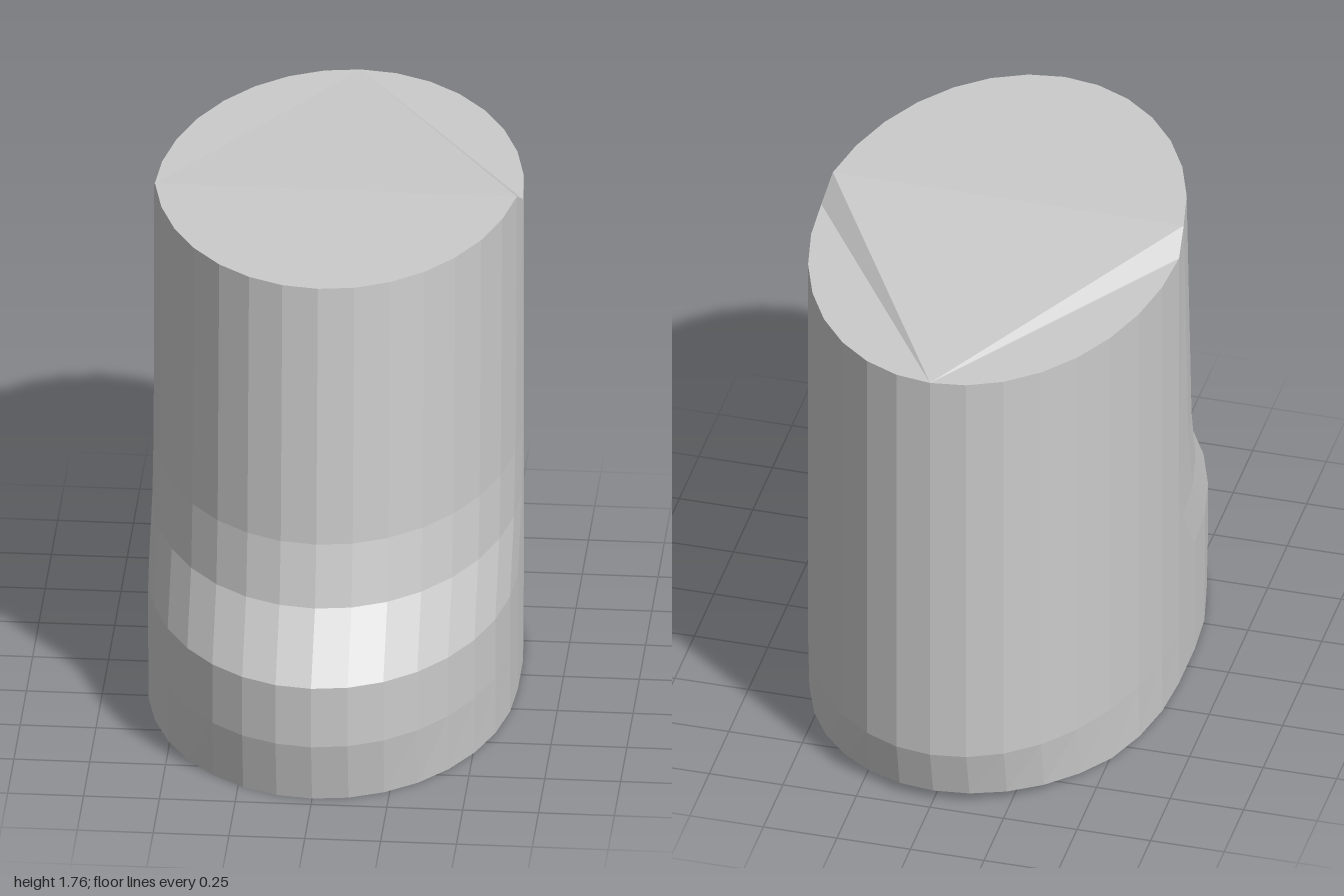
import * as THREE from 'three';

const COLS = 34;          // two half ellipses joined by short straight sides
const TIP = 25;           // rearmost column
const wrap = (k) => ((k % COLS) + COLS) % COLS;

// Each ring: height and how far the front half is pushed back
const RINGS = [
  { y: 0, push: 0 },
  { y: 0.21, push: 0 },
  { y: 0.425, push: 0 },
  { y: 0.64, push: 0.16 },
  { y: 0.85, push: 0.21 },
  { y: 1.76, push: 0.272 },
];

function ringPoint(r, k) {
  const front = k <= 16;
  const t = ((front ? k - 8 : k - 9) * Math.PI) / 16;
  const c = Math.cos(t);
  let { y, push } = RINGS[r];
  let z = (front ? 0.1 : -0.1) + 0.9 * c;
  if (front) z = Math.max(z - push, -0.1);
  if (r === 0) {
    // foot edge tucks in and lifts slightly at the back
    z -= 0.043 * c;
    y = Math.max(0, (-z - 0.57) * 0.097);
  }
  // the rear of the rim sits lower than the front
  if (r === RINGS.length - 1 && (k < 1 || k > 15)) y = 1.7;
  return [0.608 * Math.sin(t), y, z];
}

export function createModel() {
  const positions = [];
  const index = [];
  RINGS.forEach((_, r) => {
    for (let k = 0; k < COLS; k++) positions.push(...ringPoint(r, k));
  });
  const at = (r, k) => r * COLS + wrap(k);
  const quad = (a, b, c, d) => index.push(a, b, c, a, c, d);
  const top = RINGS.length - 1;

  // Side walls
  for (let r = 0; r < top; r++) {
    for (let k = 0; k < COLS; k++) {
      quad(at(r, k), at(r, k + 1), at(r + 1, k + 1), at(r + 1, k));
    }
  }

  // Underside, in strips across the width
  for (let k = 8; k < TIP; k++) {
    quad(at(0, k), at(0, 16 - k), at(0, 15 - k), at(0, k + 1));
  }

  // Top: level front, sloping middle and lower rear flanks
  for (let k = 2; k < 15; k++) index.push(at(top, 1), at(top, k), at(top, k + 1));
  index.push(at(top, TIP), at(top, 1), at(top, 15));
  for (let k = 15; k < TIP - 1; k++) {
    index.push(at(top, TIP), at(top, k), at(top, k + 1));
    index.push(at(top, TIP), at(top, 15 - k), at(top, 16 - k));
  }

  const indexed = new THREE.BufferGeometry();
  indexed.setAttribute('position', new THREE.Float32BufferAttribute(positions, 3));
  indexed.setIndex(index);
  const geometry = indexed.toNonIndexed();
  geometry.computeVertexNormals();

  const body = new THREE.Mesh(
    geometry,
    new THREE.MeshStandardMaterial({ color: 0xcccccc, flatShading: true })
  );
  body.name = 'body';

  const group = new THREE.Group();
  group.name = 'ovalBoot';
  group.add(body);
  return group;
}
